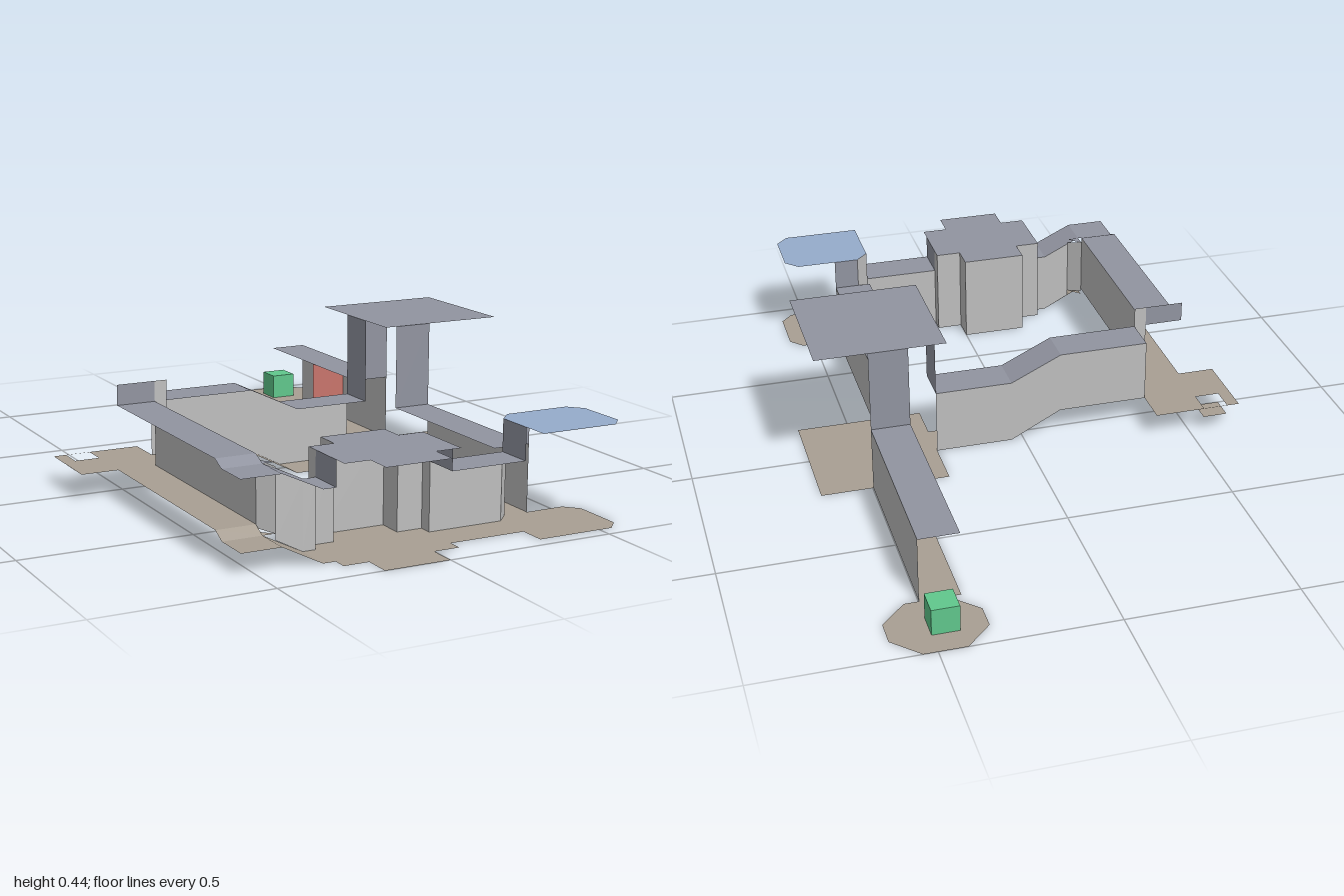
import * as THREE from 'three';

export function createModel() {
  const root = new THREE.Group();
  root.name = 'levelLayout';
  const mat = (name, color) => {
    const m = new THREE.MeshStandardMaterial({ color, side: THREE.DoubleSide });
    m.name = name;
    return m;
  };
  const floor = mat('tanFloor', 0xa89f93);
  const ceil = mat('slateCeiling', 0x9194a0);
  const wall = mat('greyWall', 0xbebebe);
  const sky = mat('blueCeiling', 0x95abcb);
  const red = mat('redDoor', 0xc8746b);
  const green = mat('greenCrate', 0x60c78c);

  const add = (name, geo, material) => {
    const m = new THREE.Mesh(geo, material);
    m.name = name;
    root.add(m);
    return m;
  };

  // Four-cornered sheet from corners in order
  const quad = (name, material, ...p) => {
    const g = new THREE.BufferGeometry();
    const pos = [0, 1, 2, 0, 2, 3].flatMap(i => p[i]);
    g.setAttribute('position', new THREE.Float32BufferAttribute(pos, 3));
    g.computeVertexNormals();
    return add(name, g, material);
  };
  // Upright wall from (x1,z1) to (x2,z2); second end may have its own heights
  const upright = (name, material, x1, z1, x2, z2, lo, hi, lo2 = lo, hi2 = hi) =>
    quad(name, material, [x1, lo, z1], [x2, lo2, z2], [x2, hi2, z2], [x1, hi, z1]);
  // Level sheet from an outline in x and z, with optional holes
  const vecs = pts => pts.map(([x, z]) => new THREE.Vector2(x, -z));
  const level = (name, material, pts, y, holes = []) => {
    const s = new THREE.Shape(vecs(pts));
    holes.forEach(h => s.holes.push(new THREE.Path(vecs(h))));
    return add(name, new THREE.ShapeGeometry(s).rotateX(-Math.PI / 2).translate(0, y, 0), material);
  };
  const rect = (x1, z1, x2, z2) => [[x1, z1], [x1, z2], [x2, z2], [x2, z1]];
  // Floor and ceiling of a straight passage
  const passage = (name, r, lo, hi) => {
    level(name + 'Floor', floor, rect(...r), lo);
    level(name + 'Ceiling', ceil, rect(...r), hi);
  };
  // Floor and ceiling sloping along x or z
  const ramp = (name, axis, [x1, z1, x2, z2], lo1, hi1, lo2, hi2) => {
    [['Floor', floor, lo1, lo2], ['Ceiling', ceil, hi1, hi2]].forEach(([part, m, a, b]) => {
      const [p, q] = axis === 'x' ? [a, b] : [b, a];
      quad(name + part, m, [x1, a, z1], [x1, p, z2], [x2, b, z2], [x2, q, z1]);
    });
  };

  // Octagonal end room with crate
  level('octagonFloor', floor, [[.42, -1], [.54, -1], [.614, -.925], [.614, -.85],
    [.54, -.775], [.42, -.775], [.344, -.85], [.344, -.925]], 0);
  add('crate', new THREE.BoxGeometry(.078, .078, .078).translate(.462, .04, -.89), green);

  // North passage with door
  passage('northPassage', [.382, -.775, .498, -.195], 0, .197);
  upright('northPassageWall', wall, .498, -.775, .498, -.195, 0, .197);
  upright('door', red, .383, -.48, .497, -.48, 0, .196);

  // Tall hall with lintels over its three openings
  passage('hall', [.27, -.195, .652, .19], 0, .445);
  upright('hallNorthLintel', ceil, .382, -.195, .498, -.195, .197, .445);
  upright('hallSouthLintel', ceil, .307, .19, .42, .19, .197, .445);
  upright('hallWestLintel', ceil, .27, -.043, .27, .072, .197, .445);

  // West passage, with a ramp in the middle
  passage('westPassageLow', [.037, -.043, .27, .072], 0, .197);
  ramp('westRamp', 'x', [-.116, -.043, .037, .072], .08, .27, 0, .197);
  passage('westPassageHigh', [-.387, -.043, -.116, .072], .08, .27);
  upright('westLowWall', wall, .037, -.043, .27, -.043, 0, .197);
  upright('westRampWall', wall, -.116, -.043, .037, -.043, .08, .27, 0, .197);
  upright('westHighWall', wall, -.387, -.043, -.116, -.043, .08, .27);

  // Open north-west room with a sunken square
  const pit = rect(-.614, -.154, -.54, -.08);
  level('cornerRoomFloor', floor, rect(-.652, -.156, -.387, .072), .08, [pit]);
  level('sunkenSquare', floor, pit, .05);
  upright('cornerRoomLintel', ceil, -.54, .072, -.424, .072, .27, .33);
  upright('cornerRoomWall', wall, -.424, .072, -.387, .072, .08, .33);

  // Long passage on the west side
  passage('longPassage', [-.54, .072, -.424, .727], .08, .27);
  upright('longPassageWall', wall, -.424, .072, -.424, .727, .08, .27);
  ramp('longRamp', 'z', [-.54, .727, -.424, .766], .08, .27, .06, .252);

  // South-west bend with a cut inner corner
  passage('bend', [-.54, .766, -.424, .878], .06, .252);
  const corner = [[-.424, .727], [-.424, .766], [-.387, .766]];
  level('bendCornerFloor', floor, corner, .06);
  level('bendCornerCeiling', ceil, corner, .252);
  upright('bendCornerWall', wall, -.424, .727, -.387, .766, .07, .255, .06, .24);

  // South passage: ramp down, then level
  ramp('southRamp', 'x', [-.424, .766, -.307, .878], .06, .252, 0, .197);
  upright('southRampWall', wall, -.387, .766, -.307, .766, .042, .236, 0, .197);
  passage('southPassageWest', [-.307, .766, -.27, .878], 0, .197);
  upright('southPassageWestWall', wall, -.307, .766, -.27, .766, 0, .197);
  passage('southPassageEast', [.077, .766, .307, .878], 0, .197);
  upright('southPassageEastWall', wall, .077, .766, .307, .766, 0, .197);

  // Cross-shaped room
  const cross = [[-.195, .652], [0, .652], [0, .727], [.077, .727], [.077, .92], [0, .92],
    [0, 1], [-.195, 1], [-.195, .92], [-.27, .92], [-.27, .727], [-.195, .727]];
  level('crossRoomFloor', floor, cross, 0);
  level('crossRoomCeiling', ceil, cross, .27);
  [[-.27, .766, -.27, .727], [-.27, .727, -.195, .727], [-.195, .727, -.195, .652],
    [-.195, .652, 0, .652], [0, .652, 0, .727], [0, .727, .077, .727], [.077, .727, .077, .766]]
    .forEach(w => upright('crossRoomWall', wall, ...w, 0, .27));
  [-.27, .077].forEach(x => upright('crossRoomLintel', ceil, x, .766, x, .878, .197, .27));

  // South-east room with open-sky ceiling
  const court = [[.345, .727], [.54, .727], [.577, .766], [.577, .918], [.54, .957],
    [.307, .957], [.307, .766]];
  level('courtFloor', floor, court, 0);
  level('courtCeiling', sky, court, .29);
  upright('courtCornerWall', wall, .307, .766, .345, .727, 0, .29);
  upright('courtWestLintel', ceil, .307, .766, .307, .878, .197, .29);
  upright('courtNorthLintel', ceil, .345, .727, .42, .727, .197, .29);

  // East passage from hall to the south-east room
  passage('eastPassage', [.307, .19, .42, .727], 0, .197);
  upright('eastPassageWall', wall, .42, .19, .42, .727, 0, .197);

  return root;
}
